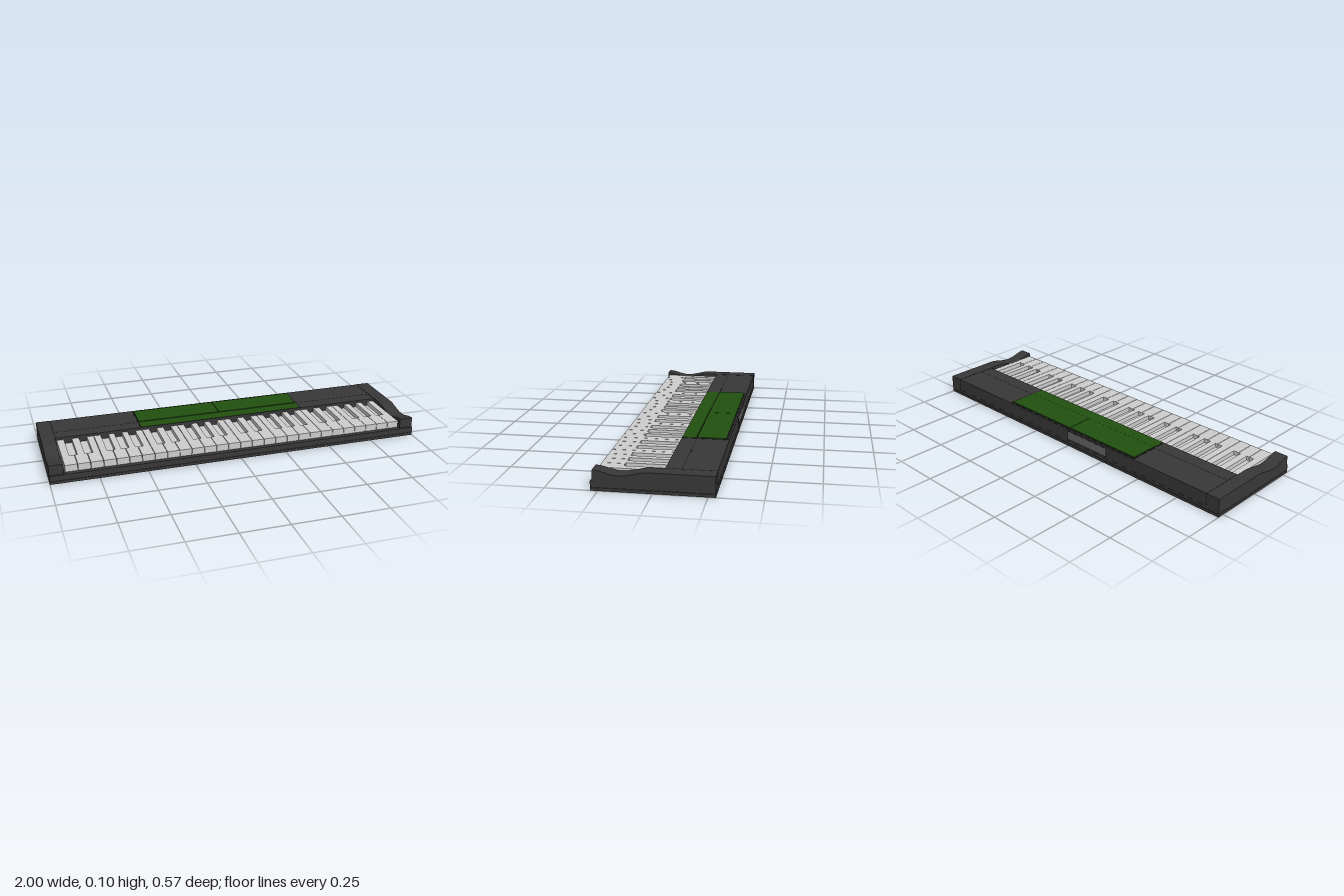
import * as THREE from 'three';

const mat = (name, color) => {
  const m = new THREE.MeshStandardMaterial({ color });
  m.name = name;
  return m;
};

export function createModel() {
  const root = new THREE.Group();
  root.name = 'keyboardInstrument';
  const casing = mat('charcoal casing', 0x383838);
  const seam = mat('dark seam', 0x1c1c1c);
  const ivory = mat('light keys', 0xcdcdcd);
  const green = mat('green panel', 0x215010);
  const grey = mat('grey port plate', 0x666666);

  // Box given by its limits on each axis
  const box = (name, m, x0, x1, y0, y1, z0, z1, parent = root) => {
    const mesh = new THREE.Mesh(new THREE.BoxGeometry(x1 - x0, y1 - y0, z1 - z0), m);
    mesh.position.set((x0 + x1) / 2, (y0 + y1) / 2, (z0 + z1) / 2);
    mesh.name = name;
    parent.add(mesh);
    return mesh;
  };

  // Base: two slabs with a narrow gap, and a front lip
  box('bottomSlab', casing, -1, 1, 0, 0.0145, -0.285, 0.285);
  box('baseSlab', casing, -1, 1, 0.0165, 0.0305, -0.285, 0.285);
  box('frontLip', casing, -1, 1, 0.0305, 0.046, 0.268, 0.285);
  box('keyBed', casing, -0.925, 0.925, 0.0305, 0.046, -0.05, 0.268);

  // End cheeks with a wavy dip beside the keys, drawn in z and y
  const profile = new THREE.Shape();
  profile.moveTo(-0.285, 0.0305);
  profile.lineTo(0.275, 0.0305);
  profile.lineTo(0.275, 0.099);
  profile.bezierCurveTo(0.225, 0.099, 0.205, 0.077, 0.153, 0.077);
  profile.bezierCurveTo(0.1, 0.077, 0.06, 0.099, 0.015, 0.099);
  profile.lineTo(-0.285, 0.099);
  profile.closePath();
  const cheekGeo = new THREE.ExtrudeGeometry(profile, { depth: 0.073, bevelEnabled: false, curveSegments: 12 });
  cheekGeo.rotateY(-Math.PI / 2);
  for (const [name, x] of [['leftCheek', 1], ['rightCheek', -0.927]]) {
    const cheek = new THREE.Mesh(cheekGeo, casing);
    cheek.position.x = x;
    cheek.name = name;
    root.add(cheek);
  }

  // Rear housing with fine seams
  box('rearHousing', casing, -0.924, 0.924, 0.0305, 0.0985, -0.284, -0.045);
  for (const s of [-1, 1]) {
    box('endSeam', seam, s * 0.9255 - 0.0025, s * 0.9255 + 0.0025, 0.04, 0.0993, -0.2845, -0.046);
    const a = s * 0.465, b = s * 0.923;
    box('housingSeam', seam, Math.min(a, b), Math.max(a, b), 0.098, 0.0988, -0.123, -0.12);
  }

  // Green control panel in a dark frame: a front strip and two raised rear plates
  box('panelFrame', seam, -0.466, 0.466, 0.096, 0.0995, -0.277, -0.046);
  box('frontStrip', green, -0.459, 0.459, 0.097, 0.1005, -0.117, -0.048);
  box('rearPlateRight', green, -0.459, -0.0015, 0.097, 0.103, -0.269, -0.121);
  box('rearPlateLeft', green, 0.0015, 0.459, 0.097, 0.103, -0.269, -0.121);

  // Port plate on the back
  box('portFrame', seam, -0.284, 0.004, 0.038, 0.091, -0.2846, -0.28);
  box('portPlate', grey, -0.278, -0.002, 0.043, 0.087, -0.2852, -0.28);

  // Keys: four octaves of naturals, with flush slots where the sharps sit
  const keys = new THREE.Group();
  keys.name = 'keys';
  root.add(keys);
  const count = 28, start = -0.92, pitch = 1.84 / count;
  const gap = 0.0012, slot = 0.021, top = 0.085;
  const shift = { 1: -0.006, 2: 0.008, 4: -0.008, 5: 0, 6: 0.008 };
  box('keyFloor', ivory, -0.92, 0.92, 0.046, 0.062, -0.045, 0.258, keys);

  // Edge of a key's narrow rear part at boundary i; side is +1 to its right
  const rearEdge = (i, side) => {
    const x = start + i * pitch, s = shift[i % 7];
    const sharp = s !== undefined && i < count;
    return sharp ? x + s + side * slot : x + side * gap;
  };
  for (let i = 0; i < count; i++) {
    const x = start + i * pitch;
    box('keyFront', ivory, x + gap, x + pitch - gap, 0.049, top, 0.155, 0.265, keys);
    box('keyRear', ivory, rearEdge(i, 1), rearEdge(i + 1, -1), 0.055, top, -0.045, 0.155, keys);
  }
  return root;
}
